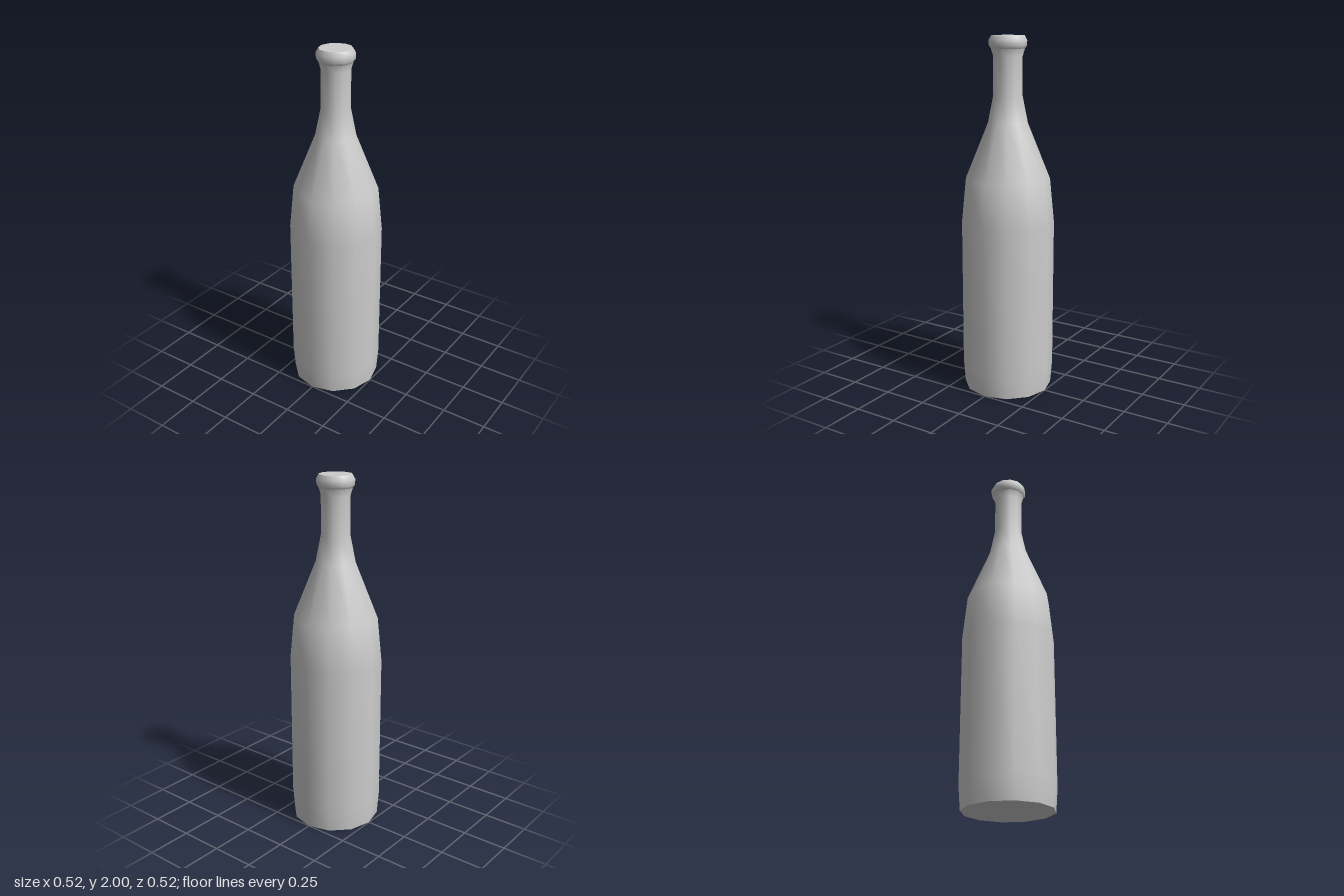
import * as THREE from 'three';

const SIDES = 12;

export function createModel() {
  const group = new THREE.Group();
  const glass = new THREE.MeshStandardMaterial({ color: 0xcccccc });
  glass.name = 'grey glass';

  // Each part is a smooth twelve-sided lathe; separate parts keep sharp rims.
  const turn = (name, profile) => {
    const points = profile.map(([r, y]) => new THREE.Vector2(r, y));
    const mesh = new THREE.Mesh(new THREE.LatheGeometry(points, SIDES), glass);
    mesh.name = name;
    group.add(mesh);
  };

  // Hollow underside
  turn('basePunt', [[0, 0.1], [0.25, 0]]);

  // Body, shoulder and neck
  turn('bottleBody', [
    [0.25, 0], [0.26, 0.13], [0.26, 0.97], [0.235, 1.22],
    [0.11, 1.53], [0.08, 1.68], [0.08, 1.89], [0.092, 1.93],
  ]);

  // Rounded lip
  turn('lip', [[0.092, 1.93], [0.103, 1.945], [0.104, 1.975], [0.09, 2]]);

  // Flat closed top
  turn('topCap', [[0.09, 2], [0, 2]]);

  return group;
}
